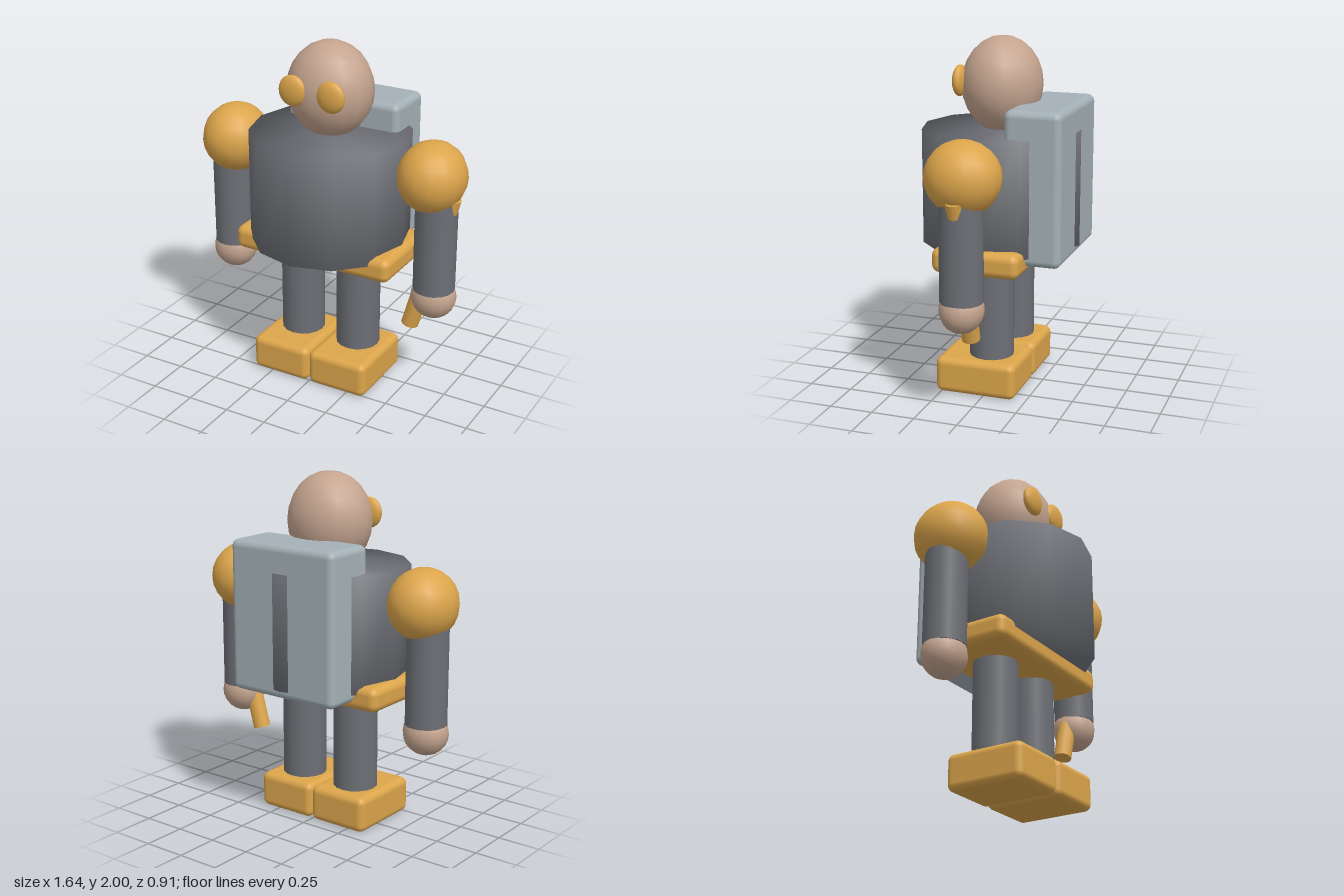
import * as THREE from 'three';
import { mergeVertices } from 'three/addons/utils/BufferGeometryUtils.js';
import { RoundedBoxGeometry } from 'three/addons/geometries/RoundedBoxGeometry.js';

const material = (name, color) => {
  const m = new THREE.MeshStandardMaterial({ color });
  m.name = name;
  return m;
};

export function createModel() {
  const orange = material('orange', 0xdca54b);
  const skin = material('skin', 0xc4a48f);
  const grey = material('dark grey', 0x6d6f75);
  const steel = material('pale steel', 0xa4b1b6);

  const model = new THREE.Group();
  model.name = 'figure';

  const add = (name, geometry, mat, x, y, z) => {
    const mesh = new THREE.Mesh(geometry, mat);
    mesh.name = name;
    mesh.position.set(x, y, z);
    model.add(mesh);
    return mesh;
  };
  const ball = (name, mat, x, y, z, rx, ry, rz) =>
    add(name, new THREE.SphereGeometry(1, 16, 12).scale(rx, ry, rz), mat, x, y, z);
  const post = (name, mat, x, z, r, y0, y1) =>
    add(name, new THREE.CylinderGeometry(r, r, y1 - y0, 16), mat, x, (y0 + y1) / 2, z);
  // Rounded box given by its lower and upper corners
  const block = (name, mat, [x0, y0, z0], [x1, y1, z1], r) =>
    add(name, new RoundedBoxGeometry(x1 - x0, y1 - y0, z1 - z0, 4, r), mat,
      (x0 + x1) / 2, (y0 + y1) / 2, (z0 + z1) / 2);

  // Twelve-sided barrel torso, shaded smoothly across its rims
  let barrel = new THREE.CylinderGeometry(0.456, 0.456, 0.65, 12);
  barrel.deleteAttribute('uv');
  barrel.deleteAttribute('normal');
  barrel = mergeVertices(barrel);
  barrel.computeVertexNormals();
  add('torso', barrel, grey, 0, 1.165, 0);

  // Head, belt and backpack
  ball('head', skin, 0, 1.73, 0, 0.248, 0.27, 0.226);
  block('belt', orange, [-0.492, 0.748, -0.25], [0.492, 0.888, 0.25], 0.045);
  block('backpack', steel, [-0.352, 0.79, -0.442], [0.352, 1.645, -0.12], 0.04);

  // Paired parts
  for (const [side, s] of [['left', 1], ['right', -1]]) {
    ball(side + 'Eye', orange, s * 0.118, 1.755, 0.207, 0.085, 0.088, 0.036);
    ball(side + 'Shoulder', orange, s * 0.628, 1.335, 0, 0.191, 0.2, 0.21);
    post(side + 'Arm', grey, s * 0.66, 0, 0.118, 0.67, 1.26);
    ball(side + 'Hand', skin, s * 0.66, 0.622, 0, 0.13, 0.127, 0.122);
    post(side + 'Leg', grey, s * 0.185, 0, 0.127, 0.18, 0.78);
    const x = s * 0.186;
    block(side + 'Foot', orange, [x - 0.183, 0, -0.19], [x + 0.183, 0.208, 0.28], 0.04);
  }

  // Slanted baton held in the left hand
  const bottom = new THREE.Vector3(0.52, 0.41, 0);
  const top = new THREE.Vector3(0.752, 1.235, 0);
  const axis = top.clone().sub(bottom);
  const baton = add('baton', new THREE.CylinderGeometry(0.051, 0.051, axis.length(), 12), orange,
    (bottom.x + top.x) / 2, (bottom.y + top.y) / 2, 0);
  baton.quaternion.setFromUnitVectors(new THREE.Vector3(0, 1, 0), axis.normalize());

  return model;
}
